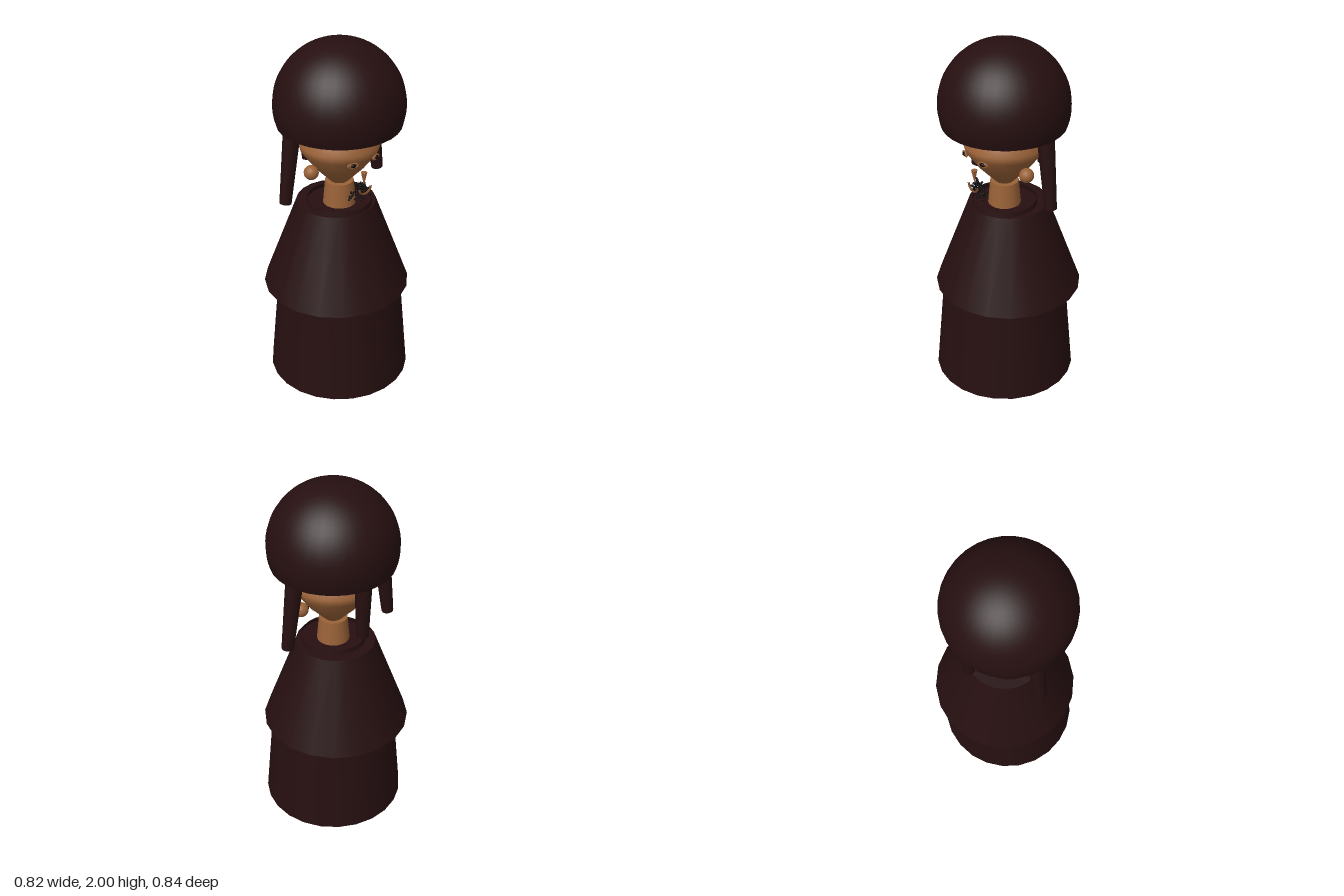
import * as THREE from 'three';

export function createModel() {
  const group = new THREE.Group();
  const mat = (name, color, side = THREE.FrontSide) => {
    const m = new THREE.MeshStandardMaterial({ color, side });
    m.name = name;
    return m;
  };
  const cloth = mat('dark maroon', 0x260f10, THREE.DoubleSide);
  const skin = mat('brown skin', 0x9a6238);
  const lip = mat('lip brown', 0x7a4a2a);
  const black = mat('black', 0x080505);

  const add = (name, geometry, material, x, y, z, parent = group) => {
    const mesh = new THREE.Mesh(geometry, material);
    mesh.name = name;
    mesh.position.set(x, y, z);
    parent.add(mesh);
    return mesh;
  };
  const axisZ = 0.018;

  // Robe, cape and standing collar
  add('robe', new THREE.CylinderGeometry(0.344, 0.4, 0.62, 24, 1, true), cloth, 0, 0.31, axisZ);
  add('cape', new THREE.CylinderGeometry(0.218, 0.41, 0.515, 20, 1, true), cloth, 0, 0.8175, -0.008);
  const capeTop = add('capeTop', new THREE.CircleGeometry(0.218, 20), cloth, 0, 1.07, -0.008);
  capeTop.rotation.x = -Math.PI / 2;
  add('collar', new THREE.CylinderGeometry(0.176, 0.184, 0.045, 24, 1, true), cloth, 0, 1.073, axisZ);

  // Neck and diamond-shaped head
  add('neck', new THREE.CylinderGeometry(0.078, 0.092, 0.16, 20), skin, 0, 1.125, axisZ);
  const headProfile = [
    [0, 1.19], [0.05, 1.205], [0.14, 1.3], [0.21, 1.395], [0.222, 1.44],
    [0.185, 1.495], [0.125, 1.545], [0, 1.6],
  ].map(([r, y]) => new THREE.Vector2(r, y));
  add('head', new THREE.LatheGeometry(headProfile, 28), skin, 0, 0, axisZ);

  // Open dome of hair
  add('hair', new THREE.SphereGeometry(0.35, 32, 20, 0, Math.PI * 2, 0, Math.PI * 0.6), cloth, 0, 1.65, axisZ);

  // Tapered braid hung between two points
  const braid = (name, from, to) => {
    const a = new THREE.Vector3(...from), b = new THREE.Vector3(...to);
    const mesh = add(name, new THREE.CylinderGeometry(0.05, 0.033, a.distanceTo(b), 12), cloth, 0, 0, 0);
    mesh.position.copy(a).add(b).multiplyScalar(0.5);
    mesh.quaternion.setFromUnitVectors(new THREE.Vector3(0, 1, 0), a.sub(b).normalize());
  };
  braid('backBraid', [0, 1.64, -0.253], [0, 1.23, -0.253]);

  for (const [side, s] of [['left', 1], ['right', -1]]) {
    braid(side + 'Braid', [s * 0.262, 1.64, -0.037], [s * 0.328, 1.152, -0.037]);
    add(side + 'Ear', new THREE.SphereGeometry(0.04, 16, 12), skin, s * 0.2, 1.315, 0.025);

    // Eye: lid ring, dark eyeball
    const eye = new THREE.Group();
    eye.name = side + 'Eye';
    eye.position.set(s * 0.078, 1.39, 0.215);
    eye.rotation.y = s * 0.3;
    group.add(eye);
    const lid = add(side + 'EyeLid', new THREE.TorusGeometry(0.029, 0.005, 8, 20), skin, 0, 0, 0.004, eye);
    lid.scale.y = 0.42;
    const ball = add(side + 'EyeBall', new THREE.SphereGeometry(0.026, 14, 10), lip, 0, 0, 0, eye);
    ball.scale.set(1, 0.38, 0.5);
    const pupil = add(side + 'Pupil', new THREE.SphereGeometry(0.016, 12, 8), black, 0, 0, 0.008, eye);
    pupil.scale.set(1, 0.65, 0.6);
  }

  // Pointed nose and curved mouth
  const nose = add('nose', new THREE.ConeGeometry(0.017, 0.075, 12), skin, 0, 1.287, 0.217);
  nose.rotation.x = Math.PI;
  const mouth = add('mouth', new THREE.TorusGeometry(0.04, 0.006, 8, 18, Math.PI), lip, 0, 1.24, 0.226);
  mouth.rotation.z = Math.PI;

  // Scattered stubble: dense below the nose, sparse on the chin
  let seed = 7;
  const rand = () => (seed = (seed * 16807) % 2147483647) / 2147483647;
  const beard = new THREE.Group();
  beard.name = 'beard';
  group.add(beard);
  const dot = new THREE.SphereGeometry(0.0065, 8, 6);
  for (let i = 0; i < 60; i++) {
    const dense = i < 28;
    const x = (rand() * 2 - 1) * (dense ? 0.03 : 0.07);
    const y = dense ? 1.215 + rand() * 0.04 : 1.155 + rand() * 0.055;
    add('stubble', dot, black, x, y, 0.175 + rand() * 0.028, beard);
  }
  return group;
}
